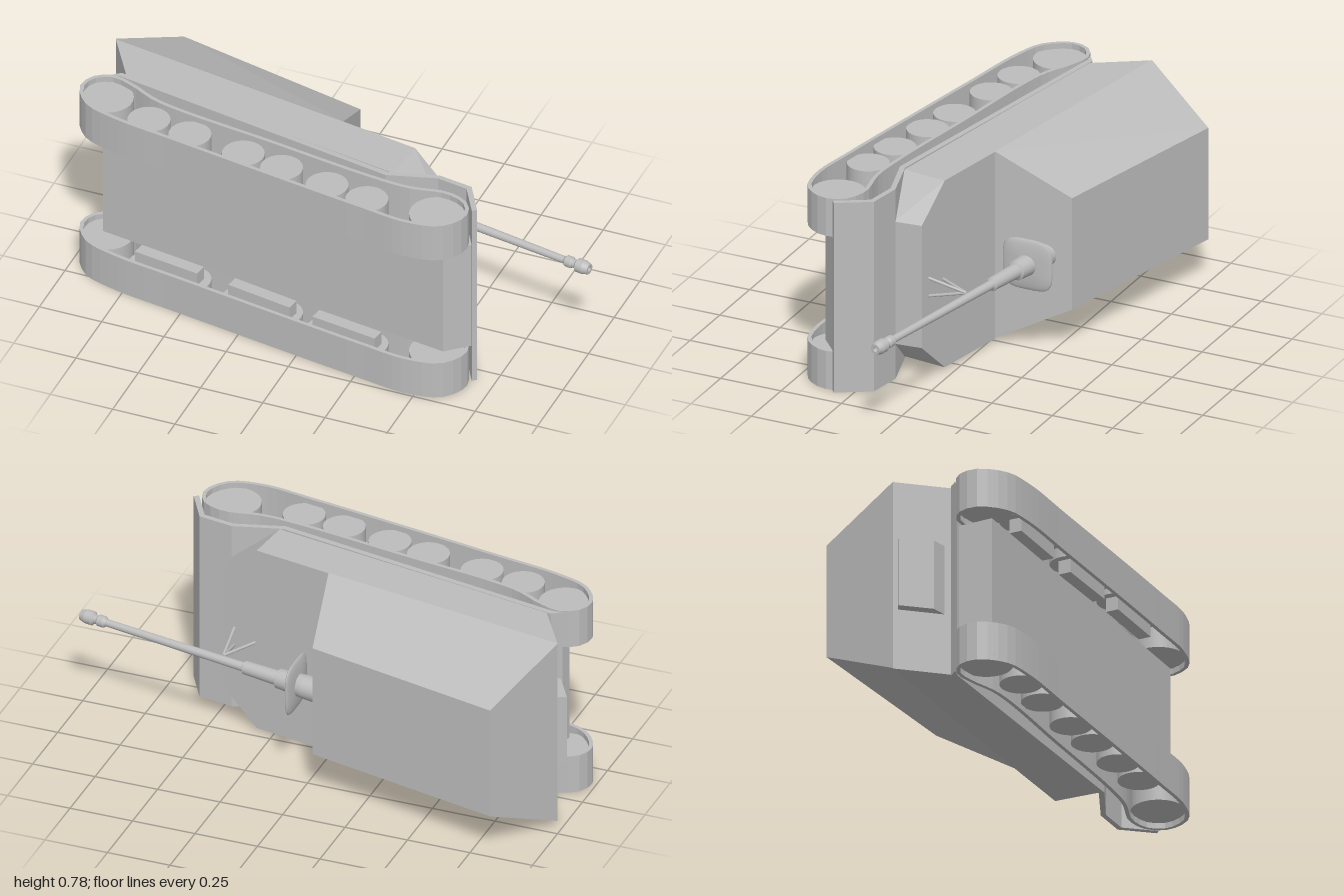
import * as THREE from 'three';
import { ConvexGeometry } from 'three/addons/geometries/ConvexGeometry.js';

const grey = new THREE.MeshStandardMaterial({ color: 0xbcbcbc });
grey.name = 'plain grey';

const V = (x, y, z = 0) => new THREE.Vector3(x, y, z);

function add(parent, name, geometry) {
  const mesh = new THREE.Mesh(geometry, grey);
  mesh.name = name;
  parent.add(mesh);
  return mesh;
}

// Convex armour block from [x, height, halfWidth] corners mirrored across the middle
function block(corners) {
  const points = corners.flatMap(([x, y, w]) => [V(x, y, w), V(x, y, -w)]);
  return new ConvexGeometry(points);
}

// Side profile extruded across the vehicle, centred on its middle
function slab(shape, width) {
  const geometry = new THREE.ExtrudeGeometry(shape, { depth: width, bevelEnabled: false });
  return geometry.translate(0, 0, -width / 2);
}

const polygon = (pts) => new THREE.Shape(pts.map(([x, y]) => new THREE.Vector2(x, y)));

// Closed track band: a smooth loop with an inset copy cut out
function trackGeometry() {
  const loop = [
    [-0.983, -0.144], [-0.96, -0.07], [-0.89, -0.035], [-0.8, -0.06], [-0.676, -0.118],
    [-0.184, -0.198], [0.243, -0.262], [0.393, -0.272], [0.543, -0.252], [0.634, -0.292],
    [0.66, -0.37], [0.6, -0.464], [0.468, -0.492], [0.265, -0.466], [-0.5, -0.341],
    [-0.8, -0.289], [-0.92, -0.243],
  ];
  const curve = new THREE.CatmullRomCurve3(loop.map(([x, y]) => V(x, y)), true);
  const outer = [], inner = [];
  for (let i = 0; i < 90; i++) {
    const p = curve.getPointAt(i / 90), t = curve.getTangentAt(i / 90);
    outer.push(new THREE.Vector2(p.x, p.y));
    inner.push(new THREE.Vector2(p.x + t.y * 0.015, p.y - t.x * 0.015));
  }
  const shape = new THREE.Shape(outer);
  shape.holes.push(new THREE.Path(inner.reverse())); // opposite winding, so the inside faces inward
  return slab(shape, 0.155);
}

// Lens-shaped plate with a rounded square outline, thin along x
function shieldGeometry(half, thick) {
  const geometry = new THREE.SphereGeometry(1, 40, 12).rotateZ(Math.PI / 2);
  const pos = geometry.attributes.position;
  for (let i = 0; i < pos.count; i++) {
    const x = pos.getX(i), y = pos.getY(i), z = pos.getZ(i);
    const r = Math.hypot(y, z);
    const square = r > 1e-6 ? r / (y ** 4 + z ** 4) ** 0.25 : 1;
    pos.setXYZ(i, x * thick, y * square * half, z * square * half);
  }
  geometry.computeVertexNormals();
  return geometry;
}

// Thin rod between two points
function rod(parent, name, a, b, r) {
  const mesh = add(parent, name, new THREE.CylinderGeometry(r, r, a.distanceTo(b), 8));
  mesh.position.copy(a).lerp(b, 0.5);
  mesh.quaternion.setFromUnitVectors(V(0, 1, 0), b.clone().sub(a).normalize());
}

export function createModel() {
  const model = new THREE.Group();
  model.name = 'trackedGunVehicle';

  // The vehicle lies on its side: its own up is -z, its width runs along y
  const body = new THREE.Group();
  body.name = 'vehicle';
  body.rotation.x = -Math.PI / 2;
  body.position.y = 0.392;
  model.add(body);

  // Sloped fighting compartment
  add(body, 'upperCasemate', block([
    [-0.975, 0.185, 0.382], [0.008, 0.02, 0.382], [-0.827, 0.492, 0.228], [-0.045, 0.313, 0.228],
  ])).position.z = 0.006;

  // Upright hull sides with a chamfered front
  add(body, 'upperHull', block([
    [-0.975, 0.185, 0.382], [-0.85, -0.015, 0.382], [0.008, 0.02, 0.382], [0.318, -0.035, 0.382],
    [0.297, -0.212, 0.382], [0.46, -0.06, 0.25], [0.47, -0.17, 0.25],
  ])).position.z = 0.004;

  // Lower hull between the tracks
  add(body, 'lowerHull', slab(polygon([
    [-0.88, -0.17], [0.58, -0.4], [0.67, -0.32], [0.6, -0.19], [0.47, -0.17],
    [0.283, -0.222], [-0.85, -0.025],
  ]), 0.46));

  // Full-width fender bent down over the nose
  add(body, 'fender', slab(polygon([
    [-0.905, -0.035], [-0.87, -0.008], [0.283, -0.216], [0.47, -0.164], [0.607, -0.186],
    [0.682, -0.315], [0.666, -0.328], [0.594, -0.205], [0.47, -0.184], [0.283, -0.238], [-0.87, -0.03],
  ]), 0.776));

  // Angled box on the rear plate
  add(body, 'rearBox', slab(polygon([
    [-1, 0.155], [-0.93, 0.04], [-0.85, 0.01], [-0.85, 0.1], [-0.96, 0.172],
  ]), 0.28)).position.z = 0.006;

  // Running gear, mirrored on both sides
  const endWheels = [[-0.874, -0.146, 0.1], [0.543, -0.366, 0.105]];
  const wheelPairs = [
    [[-0.676, -0.218], [-0.5, -0.246]],
    [[-0.27, -0.284], [-0.104, -0.314]],
    [[0.094, -0.351], [0.265, -0.378]],
  ];
  const trackBand = trackGeometry();
  for (const side of [-1, 1]) {
    const gear = new THREE.Group();
    gear.name = side > 0 ? 'upperSideRunningGear' : 'lowerSideRunningGear';
    gear.position.z = side * 0.313;
    body.add(gear);
    add(gear, 'track', trackBand);

    const addWheel = (name, x, y, r, width, z) => {
      const wheel = add(gear, name, new THREE.CylinderGeometry(r, r, width, 32));
      wheel.rotation.x = Math.PI / 2;
      wheel.position.set(x, y, z);
    };
    for (const [x, y, r] of endWheels) addWheel('endWheel', x, y, r, 0.11, 0);
    for (const [[x1, y1], [x2, y2]] of wheelPairs) {
      addWheel('roadWheel', x1, y1, 0.08, 0.075, side * 0.0175);
      addWheel('roadWheel', x2, y2, 0.08, 0.075, side * 0.0175);
      // Suspension beam joining the pair on the hull side
      const beam = add(gear, 'suspensionBeam', new THREE.BoxGeometry(0.27, 0.05, 0.055));
      beam.position.set((x1 + x2) / 2, (y1 + y2) / 2, side * -0.0475);
      beam.rotation.z = Math.atan2(y2 - y1, x2 - x1);
    }
  }

  // Gun, with its own axis along the barrel
  const gun = new THREE.Group();
  gun.name = 'gun';
  gun.position.set(0.07, 0.187, -0.013);
  gun.rotation.z = -0.186;
  body.add(gun);

  // Barrel turned from [radius, distance] pairs
  const profile = [
    [0, -0.12], [0.046, -0.12], [0.046, -0.04], [0.042, 0], [0.038, 0.075], [0.029, 0.08], [0.026, 0.225],
    [0.018, 0.23], [0.014, 0.835], [0.022, 0.845], [0.022, 0.868], [0.017, 0.874], [0.017, 0.886],
    [0.027, 0.894], [0.027, 0.922], [0.02, 0.945], [0.01, 0.945], [0.01, 0.886], [0, 0.886],
  ];
  // Repeated corners keep the steps crisp
  const crisp = profile.flatMap(([r, d]) => [new THREE.Vector2(r, d), new THREE.Vector2(r, d + 1e-5)]);
  add(gun, 'barrel', new THREE.LatheGeometry(crisp, 24)).rotation.z = -Math.PI / 2;

  // Domed shield around the barrel
  add(body, 'gunShield', shieldGeometry(0.103, 0.015)).position.set(0.072, 0.187, -0.013);

  // Three-legged travel lock under the barrel
  const top = V(0.4, 0.095, -0.013);
  rod(body, 'travelLockRearLeg', V(0.322, -0.045, -0.013), top, 0.006);
  for (const side of [-1, 1]) {
    rod(body, 'travelLockFrontLeg', V(0.415, -0.06, -0.013 + side * 0.038), top, 0.006);
  }

  return model;
}
